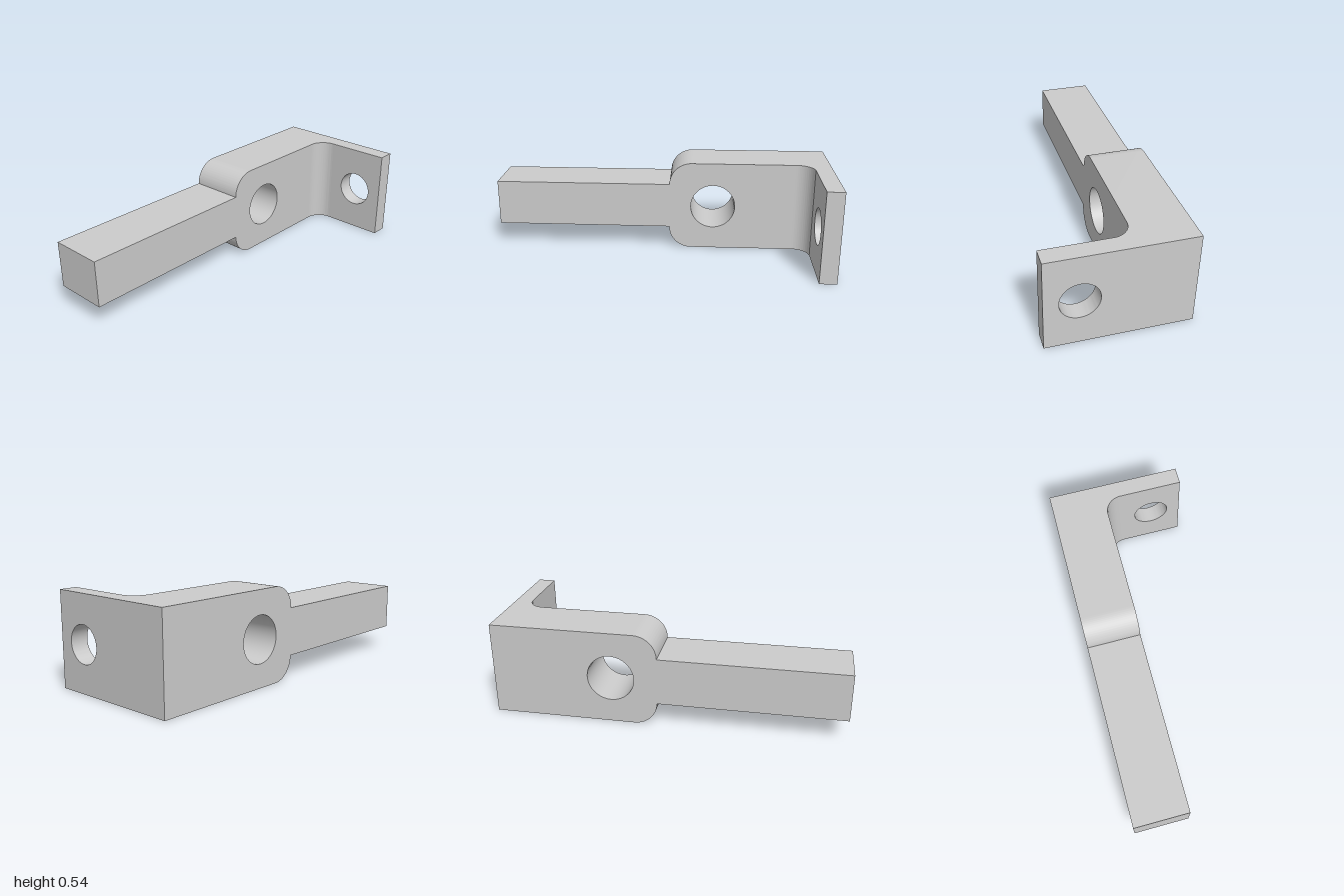
import * as THREE from 'three';
import { toCreasedNormals } from 'three/addons/utils/BufferGeometryUtils.js';

const H = 0.537;                              // full height
const LEFT = 0.395, RIGHT = -0.395, INNER = -0.08;
const BACK = 1, FLANGE = 0.9;                 // distances towards the back (-z)
const R = 0.133, FILLET = 0.1;

function extrude(shape, depth) {
  return new THREE.ExtrudeGeometry(shape, { depth, bevelEnabled: false, curveSegments: 32 });
}

function addHole(shape, x, y, r) {
  const hole = new THREE.Path();
  hole.absarc(x, y, r, 0, Math.PI * 2, true);
  shape.holes.push(hole);
}

export function createModel() {
  const group = new THREE.Group();
  const material = new THREE.MeshStandardMaterial({ color: 0xcccccc });
  const add = (name, geometry) => {
    const mesh = new THREE.Mesh(toCreasedNormals(geometry, 0.5), material);
    mesh.name = name;
    group.add(mesh);
  };

  // Arm: narrow bar widening into a round-shouldered block, drawn from the side
  const arm = new THREE.Shape();
  arm.moveTo(-1, R);
  arm.lineTo(0.05, R);
  arm.absarc(0.05 + R, R, R, Math.PI, Math.PI * 1.5, false);
  arm.lineTo(BACK, 0);
  arm.lineTo(BACK, H);
  arm.lineTo(0.05 + R, H);
  arm.absarc(0.05 + R, H - R, R, Math.PI / 2, Math.PI, false);
  arm.lineTo(-1, H - R);
  arm.closePath();
  addHole(arm, 0.313, H / 2, R);
  add('arm', extrude(arm, INNER - RIGHT).rotateY(Math.PI / 2).translate(RIGHT, 0, 0));

  // Flange: drilled plate across the back
  const flange = new THREE.Shape();
  flange.moveTo(INNER, 0);
  flange.lineTo(LEFT, 0);
  flange.lineTo(LEFT, H);
  flange.lineTo(INNER, H);
  flange.closePath();
  addHole(flange, 0.21, H / 2, 0.106);
  add('flange', extrude(flange, BACK - FLANGE).translate(0, 0, -BACK));

  // Fillet: concave inner corner between arm and flange, drawn in plan
  const fillet = new THREE.Shape();
  fillet.moveTo(INNER, FLANGE);
  fillet.lineTo(INNER + FILLET, FLANGE);
  fillet.absarc(INNER + FILLET, FLANGE - FILLET, FILLET, Math.PI / 2, Math.PI, false);
  fillet.closePath();
  add('cornerFillet', extrude(fillet, H).rotateX(-Math.PI / 2));

  return group;
}
